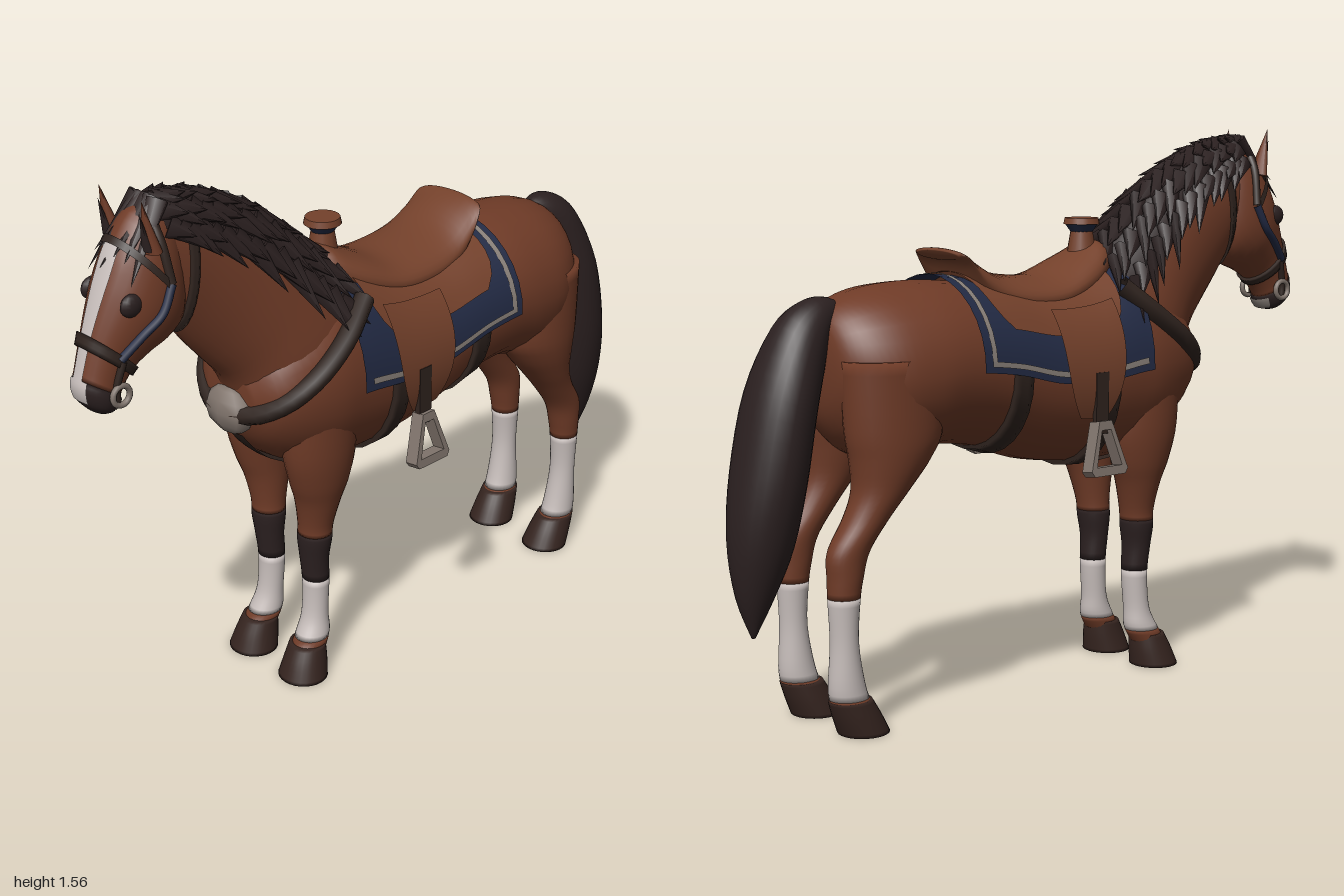
import * as THREE from 'three';
import { mergeGeometries } from 'three/addons/utils/BufferGeometryUtils.js';

const mat = (name, color) => new THREE.MeshStandardMaterial({ name, color, side: THREE.DoubleSide });
const TAU = Math.PI * 2;

// A section is [zA, yA, zB, yB, halfWidth, x]: an ellipse whose axis runs from A to B.
const trunk = [
  [-0.745, 1.03, 0.92, 0.06], [-0.73, 1.09, 0.83, 0.125], [-0.68, 1.13, 0.75, 0.185], [-0.6, 1.155, 0.7, 0.225],
  [-0.5, 1.165, 0.7, 0.237], [-0.4, 1.165, 0.72, 0.235], [-0.25, 1.15, 0.7, 0.226], [-0.1, 1.13, 0.65, 0.222],
  [0.05, 1.14, 0.625, 0.222], [0.2, 1.18, 0.62, 0.222], [0.3, 1.17, 0.64, 0.22], [0.4, 1.12, 0.69, 0.195],
  [0.47, 1.05, 0.76, 0.155], [0.51, 0.97, 0.83, 0.085],
].map(([z, t, b, w]) => [z, t, z, b, w, 0]);
const neck = [
  [0.1, 1.15, 0.36, 0.72, 0.19, 0], [0.2, 1.2, 0.48, 0.86, 0.175, 0], [0.32, 1.3, 0.53, 0.96, 0.145, 0],
  [0.44, 1.4, 0.59, 1.03, 0.118, 0], [0.57, 1.47, 0.65, 1.1, 0.098, 0], [0.67, 1.5, 0.7, 1.17, 0.087, 0],
  [0.75, 1.51, 0.74, 1.24, 0.075, 0],
];
const head = [
  [0.74, 1.53, 0.68, 1.42, 0.05, 0], [0.81, 1.5, 0.67, 1.3, 0.085, 0], [0.865, 1.43, 0.68, 1.2, 0.104, 0],
  [0.9, 1.36, 0.73, 1.155, 0.104, 0], [0.93, 1.29, 0.79, 1.13, 0.088, 0], [0.96, 1.21, 0.84, 1.1, 0.07, 0],
  [0.985, 1.13, 0.875, 1.055, 0.062, 0], [0.995, 1.09, 0.885, 1.03, 0.064, 0], [0.985, 1.05, 0.9, 1.01, 0.054, 0],
  [0.96, 1.02, 0.92, 1.005, 0.03, 0],
];
const tail = [
  [-0.64, 1.1, -0.66, 1.06, 0.015, 0], [-0.7, 1.135, -0.69, 1.05, 0.04, 0], [-0.77, 1.13, -0.715, 1.02, 0.065, 0],
  [-0.85, 1.07, -0.735, 0.94, 0.09, 0], [-0.93, 0.91, -0.765, 0.83, 0.115, 0], [-0.98, 0.7, -0.795, 0.66, 0.115, 0],
  [-1, 0.53, -0.83, 0.5, 0.09, 0], [-0.985, 0.38, -0.88, 0.38, 0.05, 0], [-0.945, 0.27, -0.935, 0.275, 0.008, 0],
];
const seat = [
  [0.245, 1.2, 0.24, 1.14, 0.05, 0], [0.2, 1.25, 0.2, 1.12, 0.085, 0], [0.12, 1.215, 0.12, 1.08, 0.125, 0],
  [0, 1.165, 0, 1.05, 0.15, 0], [-0.12, 1.165, -0.12, 1.04, 0.152, 0], [-0.22, 1.185, -0.21, 1.06, 0.145, 0],
  [-0.3, 1.23, -0.26, 1.1, 0.135, 0], [-0.345, 1.248, -0.31, 1.2, 0.12, 0], [-0.355, 1.24, -0.335, 1.215, 0.09, 0],
];
const legRows = (rows) => rows.map(([y, f, b, x, w]) => [f, y, b, y, w, x]);
const foreLeg = legRows([
  [0.88, 0.42, 0.18, 0.11, 0.09], [0.72, 0.41, 0.18, 0.115, 0.085], [0.62, 0.385, 0.2, 0.112, 0.075],
  [0.55, 0.36, 0.225, 0.105, 0.063], [0.47, 0.345, 0.245, 0.097, 0.051], [0.42, 0.345, 0.25, 0.095, 0.051],
  [0.36, 0.338, 0.258, 0.093, 0.044], [0.28, 0.33, 0.255, 0.092, 0.04], [0.18, 0.336, 0.262, 0.094, 0.039],
  [0.12, 0.362, 0.262, 0.098, 0.046], [0.07, 0.392, 0.288, 0.102, 0.05],
]);
const hindLeg = legRows([
  [0.98, -0.45, -0.735, 0.12, 0.1], [0.8, -0.44, -0.725, 0.125, 0.1], [0.72, -0.48, -0.712, 0.127, 0.092],
  [0.64, -0.55, -0.708, 0.127, 0.074], [0.57, -0.61, -0.735, 0.124, 0.06], [0.49, -0.668, -0.785, 0.122, 0.05],
  [0.42, -0.69, -0.787, 0.122, 0.046], [0.36, -0.7, -0.786, 0.122, 0.042], [0.25, -0.706, -0.781, 0.122, 0.039],
  [0.13, -0.685, -0.787, 0.12, 0.046], [0.07, -0.66, -0.775, 0.118, 0.05],
]);
const foreHoof = legRows([[0.095, 0.385, 0.285, 0.1, 0.053], [0.05, 0.408, 0.285, 0.103, 0.062], [0, 0.428, 0.29, 0.105, 0.073]]);
const hindHoof = legRows([[0.095, -0.665, -0.785, 0.117, 0.053], [0.05, -0.638, -0.77, 0.115, 0.062], [0, -0.612, -0.75, 0.113, 0.07]]);

// Smoothly interpolated section at u (0 .. rows - 1)
function sectionAt(S, u) {
  const i = Math.max(0, Math.min(S.length - 2, Math.floor(u))), t = u - i;
  const p0 = S[Math.max(0, i - 1)], p1 = S[i], p2 = S[i + 1], p3 = S[Math.min(S.length - 1, i + 2)];
  return p1.map((_, k) => p1[k] + 0.5 * t * (p2[k] - p0[k]
    + t * (2 * p0[k] - 5 * p1[k] + 4 * p2[k] - p3[k] + t * (3 * (p1[k] - p2[k]) + p3[k] - p0[k]))));
}
// u at which column k reaches a value
function find(S, k, value) {
  let lo = 0, hi = S.length - 1;
  const up = S[hi][k] > S[0][k];
  for (let n = 0; n < 30; n++) {
    const m = (lo + hi) / 2;
    if ((sectionAt(S, m)[k] < value) === up) lo = m; else hi = m;
  }
  return lo;
}
// Point on a body surface; a = 0 at A, grow lifts it off the surface
function pointOn(S, u, a, grow = 0) {
  const [za, ya, zb, yb, w, x] = sectionAt(S, u);
  const hz = (za - zb) / 2, hy = (ya - yb) / 2, k = Math.cos(a) * (1 + grow / Math.hypot(hz, hy));
  return new THREE.Vector3(x + (w + grow) * Math.sin(a), (ya + yb) / 2 + hy * k, (za + zb) / 2 + hz * k);
}
// Surface between u0..u1 and a0..a1; a full turn becomes a capped tube
function loft(S, { u0 = 0, u1 = S.length - 1, a0 = 0, a1 = TAU, grow = 0, inset = () => 0 } = {}) {
  const full = Math.abs(a1 - a0) > 6.28, nu = Math.max(3, Math.ceil((u1 - u0) * 4)), na = full ? 28 : 16;
  const cols = full ? na : na + 1, pos = [], idx = [];
  for (let i = 0; i <= nu; i++) for (let j = 0; j < cols; j++) {
    const d = inset(j / na), u = u0 + d + (u1 - u0 - 2 * d) * i / nu;
    pos.push(...pointOn(S, u, a0 + (a1 - a0) * j / na, grow).toArray());
  }
  const um = (u0 + u1) / 2, am = (a0 + a1) / 2, m = pointOn(S, um, am, grow);
  const eu = pointOn(S, um + 0.01, am, grow).sub(m), ea = pointOn(S, um, am + (a1 - a0) * 0.001, grow).sub(m);
  const flip = eu.cross(ea).dot(pointOn(S, um, am, grow + 0.01).sub(m)) < 0;
  const tri = (a, b, c) => (flip ? idx.push(a, c, b) : idx.push(a, b, c));
  for (let i = 0; i < nu; i++) for (let j = 0; j < na; j++) {
    const p = i * cols + j, q = i * cols + (j + 1) % cols;
    tri(p, p + cols, q); tri(q, p + cols, q + cols);
  }
  if (full) for (const [u, row] of [[u0, 0], [u1, nu * cols]]) {
    const c = pos.length / 3;
    pos.push(...pointOn(S, u, 0, grow).add(pointOn(S, u, Math.PI, grow)).multiplyScalar(0.5).toArray());
    for (let j = 0; j < na; j++) {
      const p = row + j, q = row + (j + 1) % na;
      if (row) tri(c, q, p); else tri(c, p, q);
    }
  }
  const g = new THREE.BufferGeometry();
  g.setAttribute('position', new THREE.Float32BufferAttribute(pos, 3));
  g.setIndex(idx);
  g.computeVertexNormals();
  return g;
}
// Pointed lock of hair
function lock(from, to, r) {
  const d = to.clone().sub(from), len = d.length();
  const g = new THREE.ConeGeometry(r, len, 6).translate(0, len / 2, 0).scale(1, 1, 0.6);
  g.applyQuaternion(new THREE.Quaternion().setFromUnitVectors(new THREE.Vector3(0, 1, 0), d.normalize()));
  return g.translate(from.x, from.y, from.z);
}

export function createModel() {
  const model = new THREE.Group();
  model.name = 'saddledHorse';
  const coat = mat('chestnutCoat', 0x6f3b27), hair = mat('darkHair', 0x2b2020), hoof = mat('hoofHorn', 0x35241f);
  const white = mat('whiteMarking', 0xc6bdba), tan = mat('saddleLeather', 0x74412b), strap = mat('darkLeather', 0x30241f);
  const blue = mat('blueCloth', 0x232b45), trim = mat('greyTrim', 0x8a817a), metal = mat('dullMetal', 0x81756d);
  const V = (x, y, z) => new THREE.Vector3(x, y, z);
  const add = (name, geo, material, parent = model) => {
    const mesh = new THREE.Mesh(geo, material);
    mesh.name = name;
    parent.add(mesh);
    return mesh;
  };
  const tube = (points, r) => new THREE.TubeGeometry(new THREE.CatmullRomCurve3(points), 32, r, 8);
  const uz = (z) => find(trunk, 0, z);
  const onTrunk = (z0, z1, opts) => loft(trunk, { u0: uz(z0), u1: uz(z1), ...opts });

  // Body, neck and head
  add('trunk', loft(trunk), coat);
  add('neck', loft(neck), coat);
  add('head', loft(head, { u1: 6.3 }), coat);
  add('muzzle', loft(head, { u0: 6.3 }), hair);
  add('blaze', loft(head, { u0: 1.9, u1: 6.4, a0: -0.27, a1: 0.27, grow: 0.004 }), white);
  add('nosePatch', loft(head, { u0: 6.3, u1: 7.9, a0: -0.5, a1: 0.5, grow: 0.004 }), white);
  add('chin', loft(head, { u0: 6.6, u1: 8, a0: 2.5, a1: 3.78, grow: 0.004 }), trim);
  add('tail', loft(tail), hair);

  // Legs, mirrored
  const hoofs = { fore: foreHoof, hind: hindHoof };
  for (const s of [1, -1]) for (const [kind, S, bands] of [
    ['fore', foreLeg, [[0.88, 0.44, coat], [0.44, 0.29, hair], [0.29, 0.11, white], [0.11, 0.07, coat]]],
    ['hind', hindLeg, [[0.98, 0.37, coat], [0.37, 0.1, white], [0.1, 0.07, coat]]],
  ]) {
    const side = (rows) => rows.map((r) => [...r.slice(0, 5), r[5] * s]);
    const leg = new THREE.Group();
    leg.name = kind + (s > 0 ? 'LegLeft' : 'LegRight');
    model.add(leg);
    bands.forEach(([y0, y1, m], i) =>
      add('legBand' + (i + 1), loft(side(S), { u0: find(S, 1, y0), u1: find(S, 1, y1) }), m, leg));
    add('hoof', loft(side(hoofs[kind])), hoof, leg);
  }

  // Ears, eyes and bit rings
  for (const s of [1, -1]) {
    const ear = add('ear', new THREE.ConeGeometry(0.034, 0.14, 12).scale(1, 1, 0.6), coat);
    ear.position.set(0.078 * s, 1.49, 0.815);
    ear.rotation.set(0.22, 0, -0.05 * s);
    const inner = add('earInner', new THREE.ConeGeometry(0.02, 0.1, 8).scale(1, 1, 0.5), hair);
    inner.position.set(0.078 * s, 1.475, 0.825);
    inner.rotation.copy(ear.rotation);
    const eye = add('eye', new THREE.SphereGeometry(0.034, 14, 10).scale(0.55, 0.9, 1), hair);
    eye.position.copy(pointOn(head, 3.25, s * 0.95, -0.006));
    const ring = add('bitRing', new THREE.TorusGeometry(0.026, 0.008, 8, 20).rotateY(Math.PI / 2), metal);
    ring.position.set(0.072 * s, 1.07, 0.915);
  }

  // Mane and forelock
  const locks = [];
  for (let i = 0; i < 15; i++) for (const s of [1, -1]) for (let row = 0; row < 3; row++) {
    const u = 1.15 + i * 0.345 - row * 0.1, a = s * (0.08 + row * 0.4), wave = 0.12 * Math.sin(i * 2.3 + row * 1.7 + s);
    locks.push(lock(pointOn(neck, u, a, 0.008), pointOn(neck, Math.max(0.3, u - 0.75 - wave), a + s * (0.32 + wave), 0.042), 0.036));
  }
  for (let i = -3; i <= 3; i++) {
    locks.push(lock(V(i * 0.014, 1.53, 0.75), pointOn(head, 2.5 + 0.35 * Math.cos(i * 2.1), i * 0.26, 0.014), 0.03));
  }
  add('maneBase', loft(neck, { u0: 0.9, u1: 6, a0: -0.95, a1: 0.95, grow: 0.012 }), hair);
  add('maneLocks', mergeGeometries(locks), hair);

  // Bridle
  add('noseband', loft(head, { u0: 4.85, u1: 5.25, grow: 0.009 }), strap);
  add('browband', loft(head, { u0: 1.75, u1: 1.98, a0: -1.6, a1: 1.6, grow: 0.008 }), strap);
  add('throatLatch', loft(neck, { u0: 4.8, u1: 5.1, grow: 0.009 }), strap);
  for (const s of [1, -1]) {
    const on = (list) => list.map(([u, a]) => pointOn(head, u, s * a, 0.003));
    add('cheekStrap', tube(on([[1.8, 1.55], [2.8, 1.6], [3.8, 1.55], [5, 1.4]]), 0.012), blue);
    add('bitStrap', tube(on([[5, 1.5], [6, 1.7], [7, 1.9]]), 0.01), strap);
    add('crownStrap', tube(on([[0.7, 0.6], [1.1, 1.1], [1.8, 1.55]]), 0.012), strap);
  }

  // Breast collar and girths
  add('breastCollar', tube([
    [-0.165, 1.13, 0.17], [-0.198, 1.05, 0.27], [-0.198, 0.97, 0.38], [-0.155, 0.91, 0.455], [-0.08, 0.87, 0.505], [0, 0.86, 0.52],
    [0.08, 0.87, 0.505], [0.155, 0.91, 0.455], [0.198, 0.97, 0.38], [0.198, 1.05, 0.27], [0.165, 1.13, 0.17],
  ].map((p) => V(...p)), 0.028), strap);
  add('breastPlate', new THREE.SphereGeometry(1, 8, 6).scale(0.088, 0.068, 0.045), metal).position.set(0, 0.862, 0.508);
  add('chestStrap', onTrunk(0.09, 0.49, { a0: Math.PI - 0.19, a1: Math.PI + 0.19, grow: 0.01 }), strap);
  add('frontGirth', onTrunk(0.06, 0.115, { grow: 0.013 }), strap);
  add('rearGirth', onTrunk(-0.26, -0.2, { grow: 0.011 }), strap);

  // Saddle blanket with trim
  add('blanket', onTrunk(-0.375, 0.235, { a0: -1.6, a1: 1.6, grow: 0.016 }), blue);
  add('blanketRearTrim', onTrunk(-0.352, -0.335, { a0: -1.52, a1: 1.52, grow: 0.02 }), trim);

  // Saddle
  add('saddleSeat', loft(seat), tan);
  add('saddleSkirt', onTrunk(-0.31, 0.16, { a0: -1.1, a1: 1.1, grow: 0.026, inset: (t) => 0.35 * Math.abs(2 * t - 1) ** 6 }), tan);
  add('hornPost', new THREE.CylinderGeometry(0.03, 0.045, 0.09, 16), tan).position.set(0, 1.24, 0.165);
  add('hornCollar', new THREE.CylinderGeometry(0.048, 0.03, 0.025, 20), blue).position.set(0, 1.283, 0.165);
  add('hornCap', new THREE.CylinderGeometry(0.048, 0.052, 0.018, 20), tan).position.set(0, 1.303, 0.165);

  // Fenders and stirrups
  const iron = new THREE.Shape([[-0.022, 0.15], [0.022, 0.15], [0.065, 0.015], [0.055, 0], [-0.055, 0], [-0.065, 0.015]].map((p) => new THREE.Vector2(...p)));
  iron.holes.push(new THREE.Path([[-0.016, 0.125], [-0.045, 0.025], [0.045, 0.025], [0.016, 0.125]].map((p) => new THREE.Vector2(...p))));
  for (const s of [1, -1]) {
    add('blanketLowerTrim', onTrunk(-0.352, 0.21, { a0: s * 1.47, a1: s * 1.53, grow: 0.02 }), trim);
    add('fender', onTrunk(-0.1, 0.12, { a0: s * 0.8, a1: s * 1.95, grow: 0.032, inset: (t) => 0.42 * t ** 4 }), tan);
    add('stirrupLeather', new THREE.BoxGeometry(0.016, 0.17, 0.045), strap).position.set(0.247 * s, 0.82, 0.025);
    const stirrup = add('stirrup', new THREE.ExtrudeGeometry(iron, { depth: 0.042, bevelEnabled: false })
      .translate(0, -0.15, -0.021).rotateY(Math.PI / 2), metal);
    stirrup.position.set(0.247 * s, 0.77, 0.025);
    stirrup.rotation.z = 0.14 * s;
  }
  return model;
}
